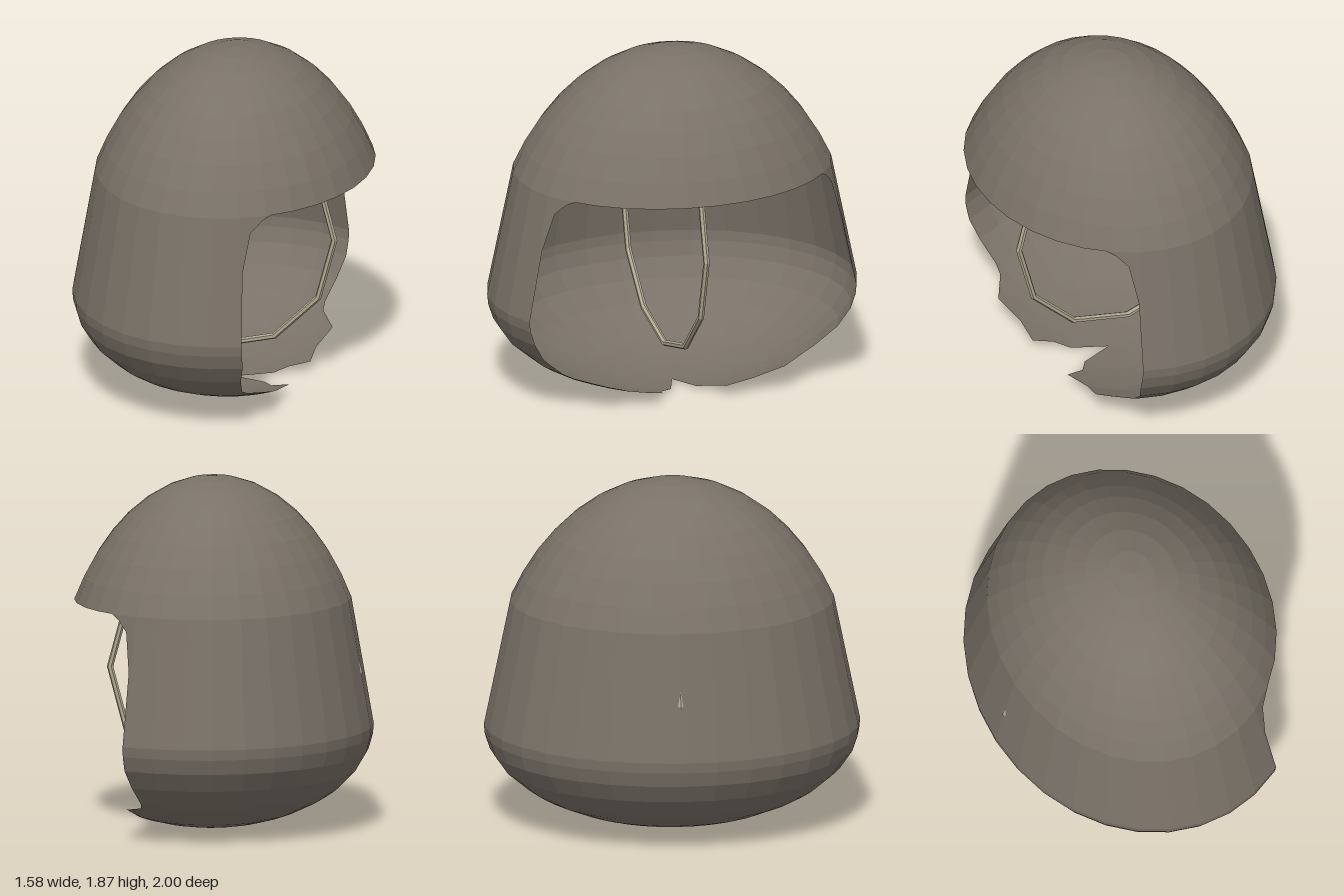
import * as THREE from 'three';

const CX = 0.05, RX = 0.85, RZ = 1, MID = 0.535, UP = 1.335, COLS = 32;
const STEP = (Math.PI * 2) / COLS;
const BROW = 1.215; // height of the flat upper edge of the opening

// Relative radius of the shell at height y, with one straight band beside the opening
function radiusAt(y) {
  const ellipse = (h) => {
    const s = (h - MID) / (h > MID ? UP : MID);
    return Math.sqrt(Math.max(0, 1 - s * s));
  };
  if (y > MID && y < BROW) return 1 + (ellipse(BROW) - 1) * (y - MID) / (BROW - MID);
  return ellipse(y);
}

// Point on the 32-sided cross-section at any angle (angle 0 faces +x)
function shellPoint(angle, y) {
  const k = Math.floor(angle / STEP + 1e-6), f = angle / STEP - k, t = radiusAt(y);
  const mix = (fn) => fn(k * STEP) * (1 - f) + fn((k + 1) * STEP) * f;
  return [CX + RX * t * mix(Math.cos), y, RZ * t * mix(Math.sin)];
}

// Angle at which the opening's edge, given by its x, meets the shell
function edgeAngle([y, x]) {
  const t = radiusAt(y);
  return t < 1e-3 ? 0 : Math.acos(Math.min(1, (x - CX) / (RX * t)));
}

function createShell(material) {
  const positions = [];
  const band = (y0, y1, cut0, cut1) => {
    const at = (k, y, cut) =>
      shellPoint(Math.min(Math.max(k * STEP, cut), Math.PI * 2 - cut), y);
    for (let k = 0; k < COLS; k++) {
      const a = at(k, y0, cut0), b = at(k, y1, cut1);
      const c = at(k + 1, y1, cut1), d = at(k + 1, y0, cut0);
      for (const tri of [[a, b, c], [a, c, d]]) {
        const [p, q, r] = tri.map((v) => new THREE.Vector3(...v));
        const area = q.clone().sub(p).cross(r.clone().sub(p)).length();
        if (area > 1e-7) positions.push(...tri.flat());
      }
    }
  };

  // Lower part: [height, x of the opening's edge]
  const cutRows = [
    [0, 0.05], [0.015, 0.24], [0.03, 0.3], [0.06, 0.41], [0.08, 0.39], [0.14, 0.43],
    [0.17, 0.33], [0.2, 0.32], [0.3, 0.35], [0.4, 0.38], [0.48, 0.385], [MID, 0.385],
    [0.92, 0.365], [1.13, 0.39], [1.19, 0.44], [BROW, 0.48],
  ];
  for (let i = 0; i + 1 < cutRows.length; i++) {
    const lo = cutRows[i], hi = cutRows[i + 1];
    band(lo[0], hi[0], edgeAngle(lo), edgeAngle(hi));
  }

  // Closed dome above the opening
  const domeRows = [BROW];
  for (const deg of [37, 44, 51, 58, 66, 74, 82, 90]) {
    domeRows.push(MID + UP * Math.sin(THREE.MathUtils.degToRad(deg)));
  }
  for (let i = 0; i + 1 < domeRows.length; i++) band(domeRows[i], domeRows[i + 1], 0, 0);

  const geometry = new THREE.BufferGeometry();
  geometry.setAttribute('position', new THREE.Float32BufferAttribute(positions, 3));
  geometry.computeVertexNormals(); // unshared corners give flat facets
  const mesh = new THREE.Mesh(geometry, material);
  mesh.name = 'shell';
  return mesh;
}

// Slim twelve-sided hoop standing inside the shell
function createHoop(material) {
  const geometry = new THREE.TorusGeometry(0.67, 0.017, 6, 12).toNonIndexed();
  geometry.computeVertexNormals();
  const mesh = new THREE.Mesh(geometry, material);
  mesh.name = 'innerHoop';
  mesh.position.set(-0.068, 0.835, 0);
  return mesh;
}

export function createModel() {
  const shellMaterial = new THREE.MeshStandardMaterial({ color: 0x7a7268, side: THREE.DoubleSide });
  shellMaterial.name = 'warm grey';
  const hoopMaterial = new THREE.MeshStandardMaterial({ color: 0xb0a890 });
  hoopMaterial.name = 'pale beige';

  const model = new THREE.Group();
  model.name = 'openShell';
  model.add(createShell(shellMaterial), createHoop(hoopMaterial));
  return model;
}
